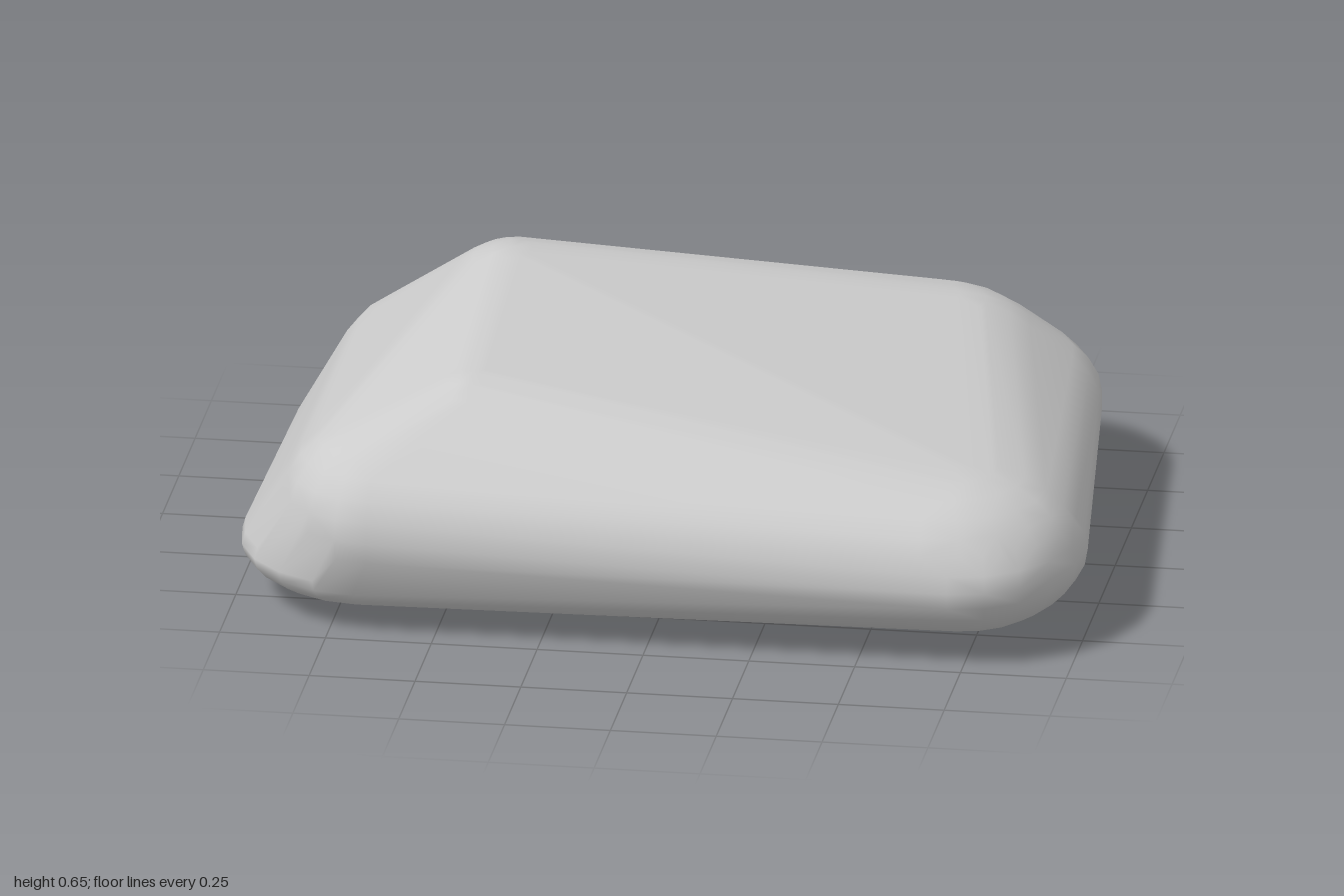
import * as THREE from 'three';
import { ConvexGeometry } from 'three/addons/geometries/ConvexGeometry.js';
import { mergeVertices } from 'three/addons/utils/BufferGeometryUtils.js';

// Rounded corners of the stone: centre x, y, z, then radius x, y, z
const corners = [
  [-0.69, 0.13, 0.40, 0.31, 0.12, 0.34],   // low left front
  [-0.65, 0.25, 0.50, 0.25, 0.22, 0.28],   // front wall, left end
  [-0.45, 0.37, 0.38, 0.20, 0.20, 0.25],   // ridge, front end
  [-0.45, 0.43, -0.17, 0.21, 0.22, 0.28],  // peak
  [-0.68, 0.12, -0.35, 0.31, 0.12, 0.31],  // low left back
  [-0.62, 0.25, -0.38, 0.28, 0.20, 0.30],  // back wall, left end
  [0.50, 0.30, -0.42, 0.30, 0.20, 0.30],   // high right back
  [0.58, 0.22, -0.45, 0.32, 0.20, 0.33],   // low right back
  [0.72, 0.20, 0.42, 0.28, 0.18, 0.35],    // low right front
  [0.65, 0.24, 0.45, 0.33, 0.18, 0.31],    // high right front
];

export function createModel() {
  const group = new THREE.Group();
  group.name = 'stone';

  // Stretch one skin over ellipsoids placed at the corners
  const ball = mergeVertices(new THREE.SphereGeometry(1, 20, 14).deleteAttribute('uv').deleteAttribute('normal'), 1e-3);
  const dirs = ball.getAttribute('position');
  const points = [];
  for (const [cx, cy, cz, rx, ry, rz] of corners) {
    for (let i = 0; i < dirs.count; i++) {
      points.push(new THREE.Vector3(
        cx + rx * dirs.getX(i), cy + ry * dirs.getY(i), cz + rz * dirs.getZ(i)));
    }
  }

  // Share vertices so the skin shades smoothly
  const hull = new ConvexGeometry(points);
  hull.deleteAttribute('normal');
  const skin = mergeVertices(hull, 1e-4);
  skin.computeVertexNormals();

  const body = new THREE.Mesh(skin, new THREE.MeshStandardMaterial({ color: 0xcccccc }));
  body.name = 'stoneBody';
  group.add(body);
  return group;
}
